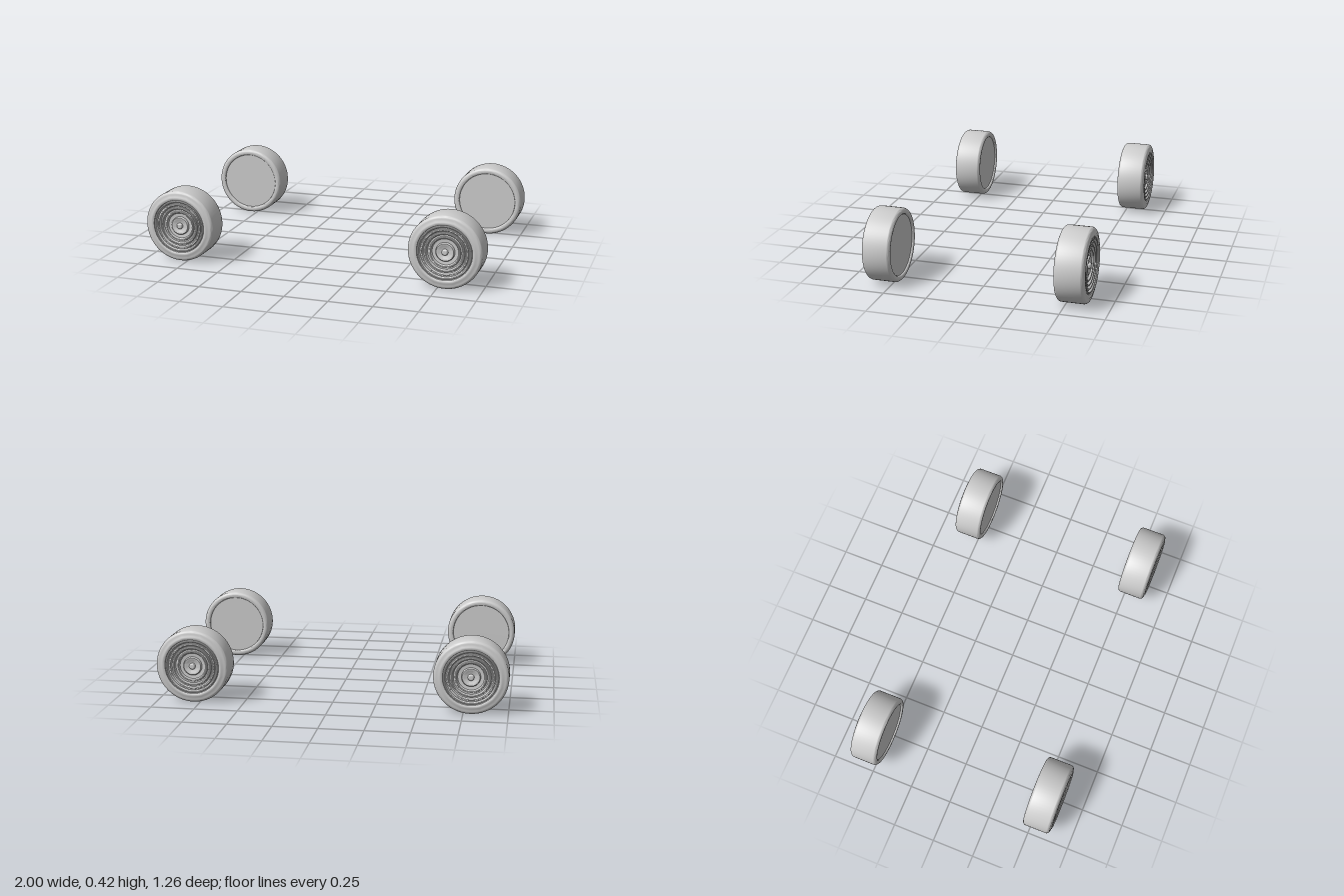
import * as THREE from 'three';
import { toCreasedNormals } from 'three/addons/utils/BufferGeometryUtils.js';

const material = new THREE.MeshStandardMaterial({ color: 0xcccccc });

// Turns a [radius, depth] profile, listed from back to front, around the wheel axle (z)
function turned(name, profile, segments = 64) {
  const points = profile.map(([r, z]) => new THREE.Vector2(r, z));
  const geometry = new THREE.LatheGeometry(points, segments).rotateX(Math.PI / 2);
  const mesh = new THREE.Mesh(toCreasedNormals(geometry, 0.7), material);
  mesh.name = name;
  return mesh;
}

// Quarter-round shoulder between two angles
function shoulder(r, z, radius, from, to) {
  return Array.from({ length: 7 }, (_, i) => {
    const a = from + (to - from) * i / 6;
    return [r + radius * Math.cos(a), z + radius * Math.sin(a)];
  });
}

function createWheel() {
  const wheel = new THREE.Group();

  // Tyre with rounded shoulders and a low raised band on the outer sidewall
  wheel.add(turned('tyre', [
    [0.174, -0.068], [0.176, -0.078], [0.181, -0.082],
    ...shoulder(0.19, -0.062, 0.02, -Math.PI / 2, 0),
    ...shoulder(0.19, 0.061, 0.02, 0, Math.PI / 2),
    [0.179, 0.083], [0.174, 0.086], [0.163, 0.086], [0.157, 0.082], [0.154, 0.07],
  ]));

  // Flat inner cover, set slightly in
  wheel.add(turned('innerCover', [[0, -0.072], [0.174, -0.072], [0.175, -0.06]]));

  // Dished rim with concentric ridges, stepping in towards the hub
  const rim = [[0.156, 0.068]];
  const ridges = [0.148, 0.128, 0.107, 0.083];
  ridges.forEach((r, i) => {
    const z = 0.082 - i * 0.004;
    rim.push([r + 0.007, z - 0.008], [r + 0.005, z - 0.001], [r + 0.002, z + 0.001],
      [r - 0.003, z], [r - 0.006, z - 0.004], [r - 0.009, z - 0.012]);
  });
  rim.push([0.059, 0.056], [0, 0.056]);
  wheel.add(turned('ridgedRim', rim));

  // Hub cap and axle end
  wheel.add(turned('hubCap', [
    [0.054, 0.054], [0.053, 0.065], [0.049, 0.069], [0.043, 0.069], [0.036, 0.064], [0, 0.063],
  ], 48));
  wheel.add(turned('axleEnd', [
    [0.018, 0.062], [0.018, 0.07], [0.015, 0.075], [0.009, 0.078], [0, 0.079],
  ], 32));
  return wheel;
}

export function createModel() {
  const model = new THREE.Group();
  model.name = 'wheelSet';
  // Four wheels, each with its ridged side facing outwards
  for (const [end, z] of [['front', 1], ['rear', -1]]) {
    for (const [side, x] of [['Left', 1], ['Right', -1]]) {
      const wheel = createWheel();
      wheel.name = `${end}${side}Wheel`;
      wheel.position.set(x * 0.79, 0.21, z * 0.544);
      wheel.rotation.y = z > 0 ? 0 : Math.PI;
      model.add(wheel);
    }
  }
  return model;
}
